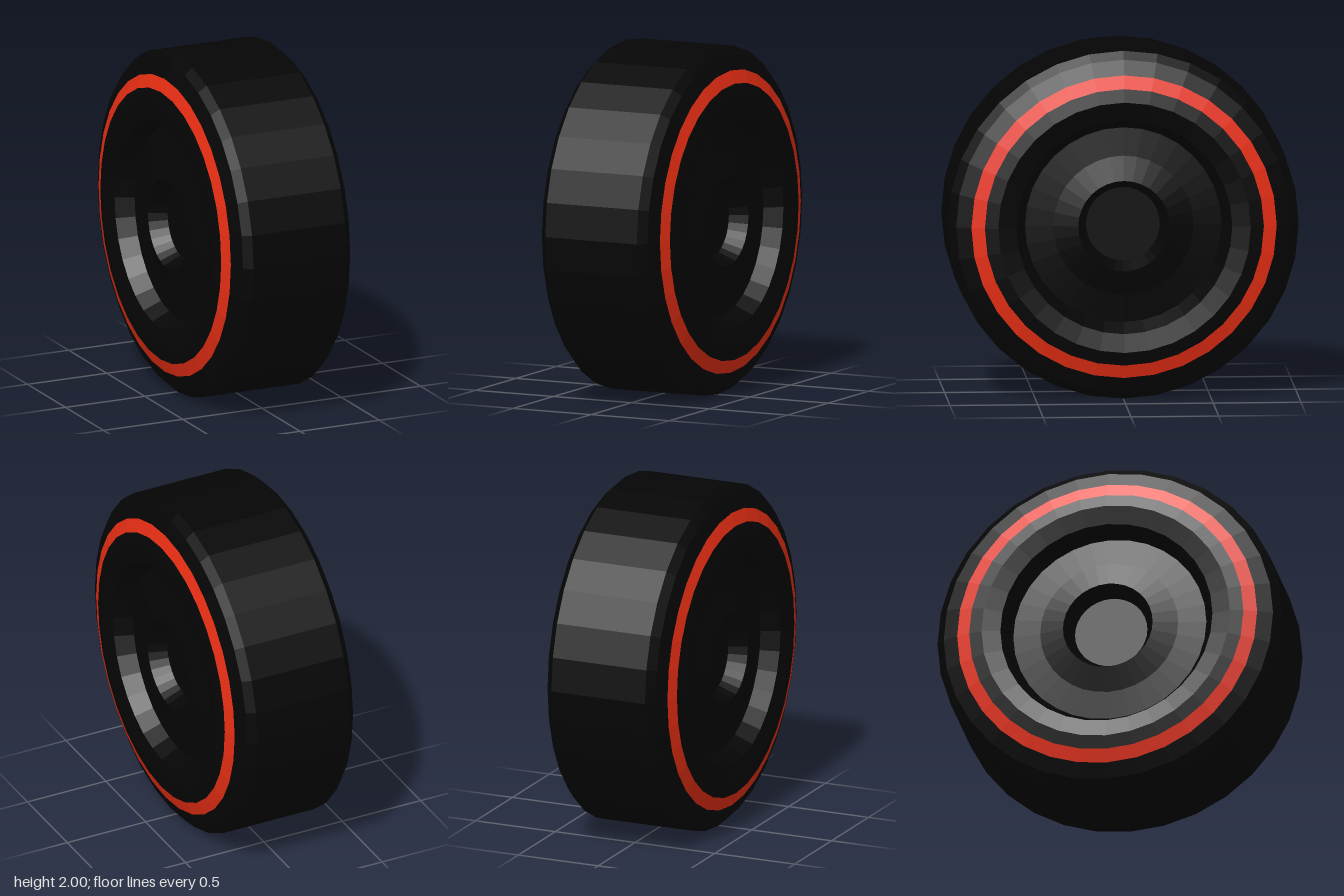
import * as THREE from 'three';

const SIDES = 32;
const rubber = new THREE.MeshStandardMaterial({ color: 0x050505, flatShading: true });
const red = new THREE.MeshStandardMaterial({ color: 0xec2f14, flatShading: true });

// Ring of revolution around the x axle; the profile lists [radius, x] pairs
function ring(name, profile, material) {
  const points = profile.map(([r, x]) => new THREE.Vector2(r, x));
  const geometry = new THREE.LatheGeometry(points, SIDES).rotateZ(-Math.PI / 2);
  const mesh = new THREE.Mesh(geometry, material);
  mesh.name = name;
  return mesh;
}

// One side of the wheel, facing +x
function createSide(name) {
  const side = new THREE.Group();
  side.name = name;
  side.add(
    ring('shoulder', [[1, 0.293], [0.955, 0.338], [0.87, 0.374]], rubber),
    ring('stripe', [[0.87, 0.374], [0.795, 0.399]], red),
    ring('sidewall', [[0.795, 0.399], [0.72, 0.418], [0.615, 0.395]], rubber),
    // Recessed disc rising to a conical boss with a sunken hub
    ring('rimWall', [[0.615, 0.395], [0.56, 0.295]], rubber),
    ring('disc', [[0.56, 0.295], [0.4, 0.315], [0.26, 0.355]], rubber),
    ring('hub', [[0.26, 0.355], [0.21, 0.255], [0, 0.255]], rubber),
  );
  return side;
}

export function createModel() {
  const wheel = new THREE.Group();
  wheel.name = 'wheel';
  wheel.add(ring('tread', [[1, -0.293], [1, 0.293]], rubber));

  const left = createSide('leftSide');
  const right = createSide('rightSide');
  right.rotation.y = Math.PI;
  wheel.add(left, right);

  // Stand the wheel on the ground
  wheel.position.y = 1;
  const model = new THREE.Group();
  model.name = 'model';
  model.add(wheel);
  return model;
}
